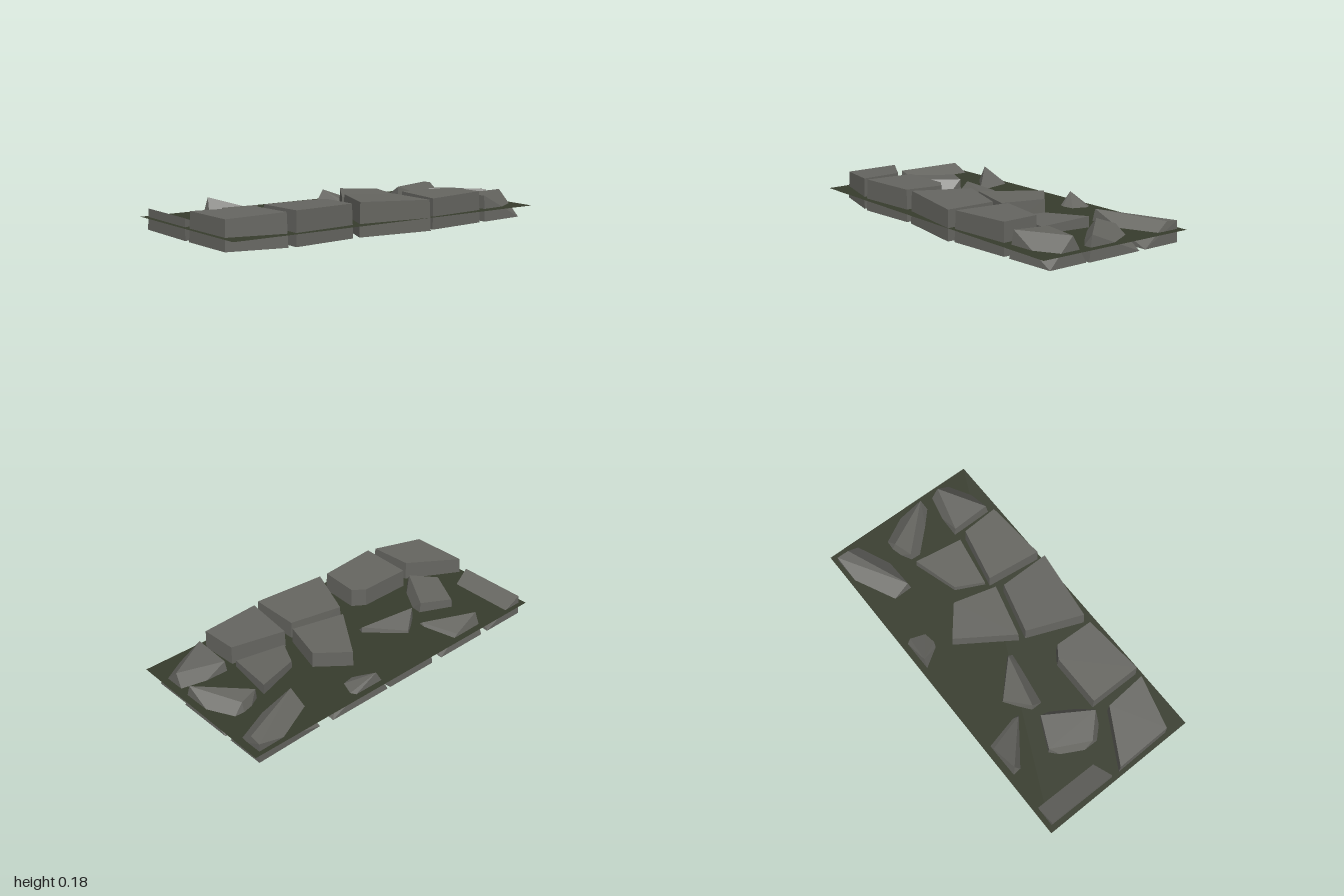
import * as THREE from 'three';
import { ConvexGeometry } from 'three/addons/geometries/ConvexGeometry.js';

const GROUND_Y = 0.07;

// Faceted convex stone from foot corners [x, z] and top corners [x, y, z], open underneath
function stoneGeometry(foot, top) {
  const hull = new ConvexGeometry([
    ...foot.map(([x, z]) => new THREE.Vector3(x, 0, z)),
    ...top.map((p) => new THREE.Vector3(...p)),
  ]).getAttribute('position');
  const kept = [];
  for (let i = 0; i < hull.count; i += 3) {
    const corners = [i, i + 1, i + 2];
    if (corners.every((k) => hull.getY(k) < 1e-4)) continue;
    corners.forEach((k) => kept.push(hull.getX(k), hull.getY(k), hull.getZ(k)));
  }
  const geometry = new THREE.BufferGeometry();
  geometry.setAttribute('position', new THREE.Float32BufferAttribute(kept, 3));
  geometry.computeVertexNormals();
  return geometry;
}

// Top of a slab: the outline drawn in slightly, on a plane of given height and tilt
function slabTop(outline, height, tiltX, tiltZ) {
  const cx = outline.reduce((sum, p) => sum + p[0], 0) / outline.length;
  const cz = outline.reduce((sum, p) => sum + p[1], 0) / outline.length;
  return outline.map(([x, z]) => {
    const dx = (x - cx) * 0.97;
    const dz = (z - cz) * 0.97;
    return [cx + dx, height + tiltX * dx + tiltZ * dz, cz + dz];
  });
}

export function createModel() {
  const model = new THREE.Group();
  model.name = 'stonePath';

  const stoneMaterial = new THREE.MeshStandardMaterial({ color: 0x666661, side: THREE.DoubleSide, flatShading: true });
  stoneMaterial.name = 'grey stone';
  const groundMaterial = new THREE.MeshStandardMaterial({ color: 0x373c2d, side: THREE.DoubleSide });
  groundMaterial.name = 'dark moss';

  const add = (name, geometry, material) => {
    const mesh = new THREE.Mesh(geometry, material);
    mesh.name = name;
    model.add(mesh);
    return mesh;
  };
  const wedge = (name, foot, ridge) => add(name, stoneGeometry(foot, ridge), stoneMaterial);
  const slab = (name, outline, height, tiltX = 0, tiltZ = 0) =>
    wedge(name, outline, slabTop(outline, height, tiltX, tiltZ));

  // Thin ground sheet that the stones poke through
  const edge = [[-1, 0.475], [-0.985, -0.47], [0.985, -0.47], [1, 0.475]];
  const sheet = new THREE.Shape(edge.map((p) => new THREE.Vector2(...p)));
  add('ground', new THREE.ShapeGeometry(sheet).rotateX(-Math.PI / 2), groundMaterial).position.y = GROUND_Y;

  // Front row: large slabs, then a wedge at the end
  slab('frontSlab1', [[-0.97, 0.01], [-0.67, 0.18], [-0.65, 0.43], [-0.96, 0.35]], 0.168, 0.06);
  slab('frontSlab2', [[-0.61, 0.13], [-0.3, 0.13], [-0.23, 0.18], [-0.24, 0.41], [-0.61, 0.44]], 0.178, 0, 0.02);
  slab('frontSlab3', [[-0.07, 0.09], [0.23, 0.17], [0.23, 0.47], [-0.2, 0.41]], 0.174, -0.04);
  slab('frontSlab4', [[0.3, 0.13], [0.62, 0.2], [0.63, 0.42], [0.26, 0.45]], 0.172, 0.02);
  wedge('frontWedge', [[0.67, 0.16], [0.95, 0.17], [0.95, 0.4], [0.67, 0.42]],
    [[0.68, 0.13, 0.18], [0.94, 0.145, 0.25], [0.68, 0.145, 0.4]]);

  // Middle row: slabs and ridged stones
  wedge('middleStone1', [[-0.66, -0.22], [-0.47, -0.13], [-0.48, 0], [-0.63, 0.14], [-0.77, 0.07], [-0.77, -0.12]],
    [[-0.65, 0.12, -0.21], [-0.48, 0.13, -0.13], [-0.64, 0.135, 0.12], [-0.76, 0.125, 0]]);
  wedge('middleStone2', [[-0.42, -0.14], [-0.28, -0.25], [-0.08, -0.06], [-0.11, 0.04], [-0.42, 0]],
    [[-0.41, 0.13, -0.13], [-0.28, 0.085, -0.23], [-0.1, 0.1, -0.05]]);
  slab('middleSlab3', [[-0.06, 0.06], [0.15, -0.25], [0.32, -0.11], [0.25, 0.14]], 0.158);
  slab('middleSlab4', [[0.32, 0.12], [0.4, -0.04], [0.66, -0.12], [0.62, 0.17]], 0.112, 0.05, -0.06);
  wedge('middleStone5', [[0.7, -0.12], [0.83, -0.19], [0.96, -0.18], [0.96, 0.16], [0.86, 0.16], [0.69, 0]],
    [[0.71, 0.13, -0.115], [0.82, 0.12, -0.145], [0.945, 0.132, 0.13]]);

  // Back row: stones mostly sunk below the ground
  slab('backSlab1', [[-0.97, -0.45], [-0.7, -0.45], [-0.72, -0.1], [-0.97, -0.03]], 0.065, -0.4);
  wedge('backStone2', [[-0.65, -0.45], [-0.32, -0.45], [-0.35, -0.15], [-0.64, -0.36]],
    [[-0.62, 0.15, -0.42], [-0.46, 0.085, -0.435], [-0.4, 0.08, -0.22]]);
  slab('buriedSlab', [[-0.25, -0.45], [0.07, -0.45], [0.1, -0.25], [-0.1, -0.12]], 0.05);
  wedge('backStone3', [[0.09, -0.45], [0.48, -0.45], [0.45, -0.21], [0.24, -0.21]],
    [[0.16, 0.13, -0.43], [0.42, 0.035, -0.4], [0.25, 0.05, -0.28]]);
  wedge('backStone4', [[0.56, -0.44], [0.96, -0.45], [0.96, -0.22], [0.56, -0.21]],
    [[0.575, 0.135, -0.235], [0.95, 0.12, -0.38], [0.955, 0.115, -0.45]]);
  return model;
}
